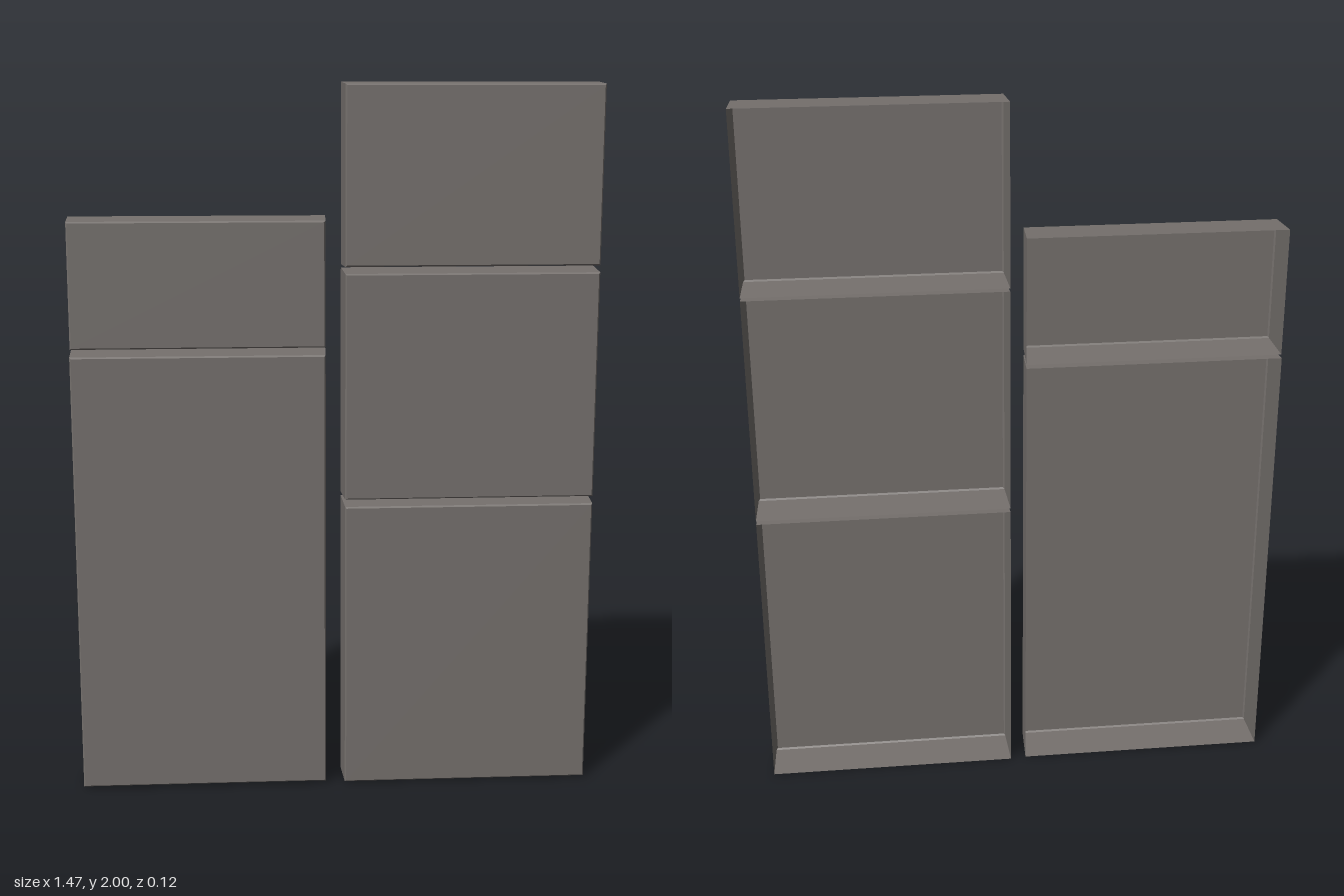
import * as THREE from 'three';

const slate = new THREE.MeshStandardMaterial({ color: 0x75706d, side: THREE.DoubleSide });
slate.name = 'warm grey';

// Cross-sections from the open back to the front face: [z, inset]
const SECTIONS = [[-0.062, 0], [0.056, 0.005], [0.061, 0.009]];

// Thin tray, open at the back, with tapered walls and a fine front bevel
function trayGeometry(x0, x1, y0, y1) {
  const rings = SECTIONS.map(([z, d]) => [
    [x0 + d, y0 + d, z], [x1 - d, y0 + d, z],
    [x1 - d, y1 - d, z], [x0 + d, y1 - d, z],
  ]);
  const positions = [];
  const quad = (a, b, c, d) => positions.push(...a, ...b, ...c, ...a, ...c, ...d);
  for (let r = 0; r < rings.length - 1; r++) {
    for (let i = 0; i < 4; i++) {
      const j = (i + 1) % 4;
      quad(rings[r][i], rings[r][j], rings[r + 1][j], rings[r + 1][i]);
    }
  }
  quad(...rings[rings.length - 1]);
  const geometry = new THREE.BufferGeometry();
  geometry.setAttribute('position', new THREE.Float32BufferAttribute(positions, 3));
  geometry.computeVertexNormals();
  return geometry;
}

export function createModel() {
  const group = new THREE.Group();
  group.name = 'cabinetFronts';

  // Two columns of panels: name, x range, y range
  const panels = [
    ['lowerRightDoor', -0.735, -0.024, 0.004, 1.27],
    ['upperRightDoor', -0.733, -0.024, 1.281, 1.638],
    ['lowerLeftDoor', 0.02, 0.733, 0, 0.837],
    ['middleLeftDoor', 0.02, 0.733, 0.848, 1.493],
    ['upperLeftDoor', 0.02, 0.733, 1.502, 2],
  ];
  for (const [name, ...bounds] of panels) {
    const mesh = new THREE.Mesh(trayGeometry(...bounds), slate);
    mesh.name = name;
    group.add(mesh);
  }
  return group;
}
